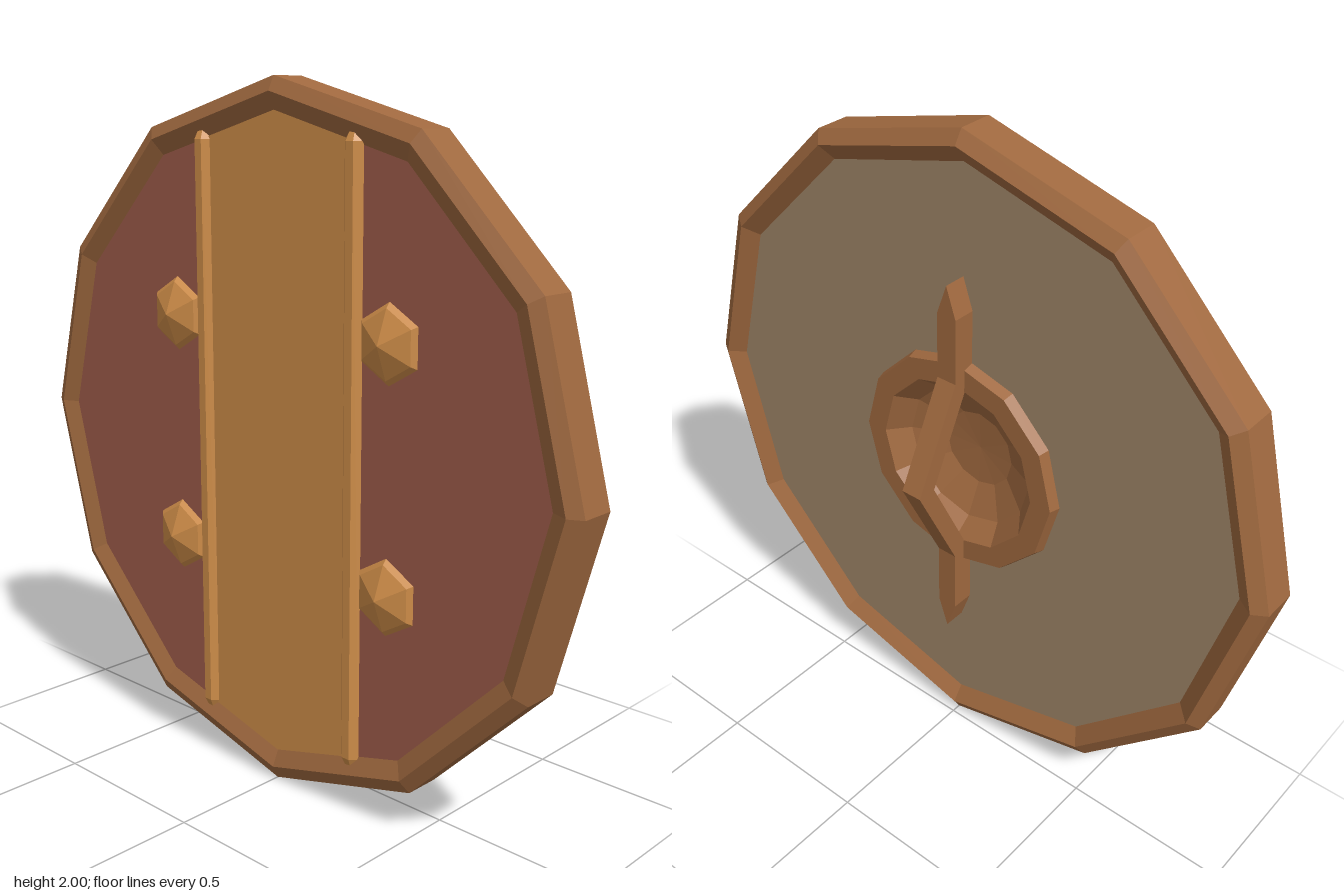
import * as THREE from 'three';

const mat = (name, color) => {
  const m = new THREE.MeshStandardMaterial({ color, flatShading: true });
  m.name = name;
  return m;
};

export function createModel() {
  const gold = mat('golden wood', 0xd08e49);
  const red = mat('red paint', 0x9e5c4a);
  const brown = mat('brown wood', 0xa0693f);
  const grey = mat('grey backing', 0x9f8567);

  const shield = new THREE.Group();
  shield.name = 'shield';
  const CY = 1; // height of the shield centre
  const add = (name, geo, material, x = 0, y = CY, z = 0) => {
    const mesh = new THREE.Mesh(geo, material);
    mesh.name = name;
    mesh.position.set(x, y, z);
    shield.add(mesh);
    return mesh;
  };
  const points = (pairs) => pairs.map(([a, b]) => new THREE.Vector2(a, b));
  // Profile of [radius, z] pairs turned around the z axis
  const turned = (pairs, sides = 12) =>
    new THREE.LatheGeometry(points(pairs), sides).rotateX(Math.PI / 2);

  // Twelve-sided rim, chamfered on both sides
  add('rim', turned([
    [0.91, 0.04], [0.96, 0.005], [1, 0.03], [1, 0.135], [0.96, 0.155], [0.91, 0.132],
  ]), brown);

  // Painted front panel
  add('frontPanel', new THREE.CircleGeometry(0.915, 12), red, 0, CY, 0.132);

  // Central plank, its ends following the rim
  const w = 0.285, tip = 0.912, side = tip - w * Math.tan(Math.PI / 12);
  const plank = new THREE.Shape(points([
    [-w, -side], [0, -tip], [w, -side], [w, side], [0, tip], [-w, side],
  ]));
  add('centrePlank', new THREE.ShapeGeometry(plank), gold, 0, CY, 0.135);

  // Back panel with an opening for the hand
  add('backPanel', turned([[0.3, 0.04], [0.915, 0.04]]), grey);

  // Hand bowl with a raised ring
  add('handBowl', turned([
    [0, 0.122], [0.12, 0.115], [0.22, 0.07], [0.27, 0.008], [0.338, 0.008], [0.347, 0.04],
  ]), brown);

  for (const s of [-1, 1]) {
    // Edge bar with bevelled ends, half sunk into the panel
    const bar = new THREE.LatheGeometry(points([
      [0, -0.86], [0.022, -0.86], [0.034, -0.835], [0.034, 0.835], [0.022, 0.86], [0, 0.86],
    ]), 8, Math.PI / 8);
    add('edgeBar', bar, gold, s * 0.283, CY, 0.121);

    // Hexagonal studs with pointed caps
    for (const t of [-1, 1]) {
      const stud = turned([[0.11, 0.13], [0.093, 0.145], [0, 0.18]], 6);
      add('stud', stud, gold, s * 0.405, CY + t * 0.337, 0);
    }
  }

  // Handle: side profile (u = -z) extruded across x
  const half = 0.032, back = 0.029, inner = -0.04;
  const outline = new THREE.Shape(points([
    [inner, 0.5], [back, 0.5], [back, 0.302], [0.18, 0], [back, -0.302], [back, -0.5],
    [inner, -0.5], [inner, -0.32], [0.12, 0], [inner, 0.32],
  ]));
  const handle = new THREE.ExtrudeGeometry(outline, { depth: 2 * half, bevelEnabled: false });
  add('handle', handle.translate(0, 0, -half).rotateY(Math.PI / 2), brown);

  // Pointed handle ends
  for (const s of [0, 1]) {
    const wedge = new THREE.Shape(points([[-half, 0.5], [half, 0.5], [0, 0.592]]));
    const end = new THREE.ExtrudeGeometry(wedge, { depth: back - inner, bevelEnabled: false });
    add('handleEnd', end.translate(0, 0, -back).rotateZ(s * Math.PI), brown);
  }

  return shield;
}
